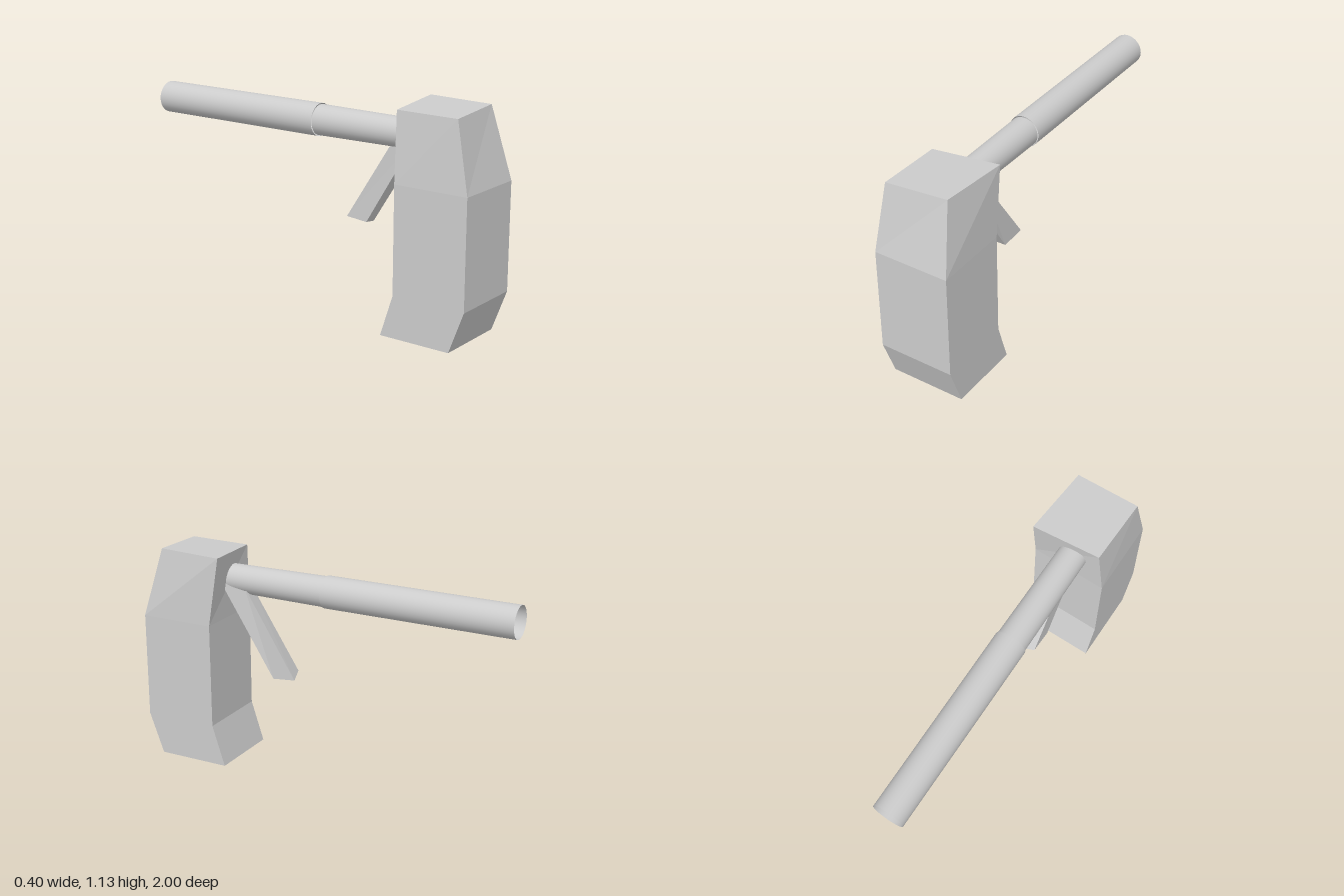
import * as THREE from 'three';

// Skins a stack of four-cornered rings, bottom to top, each ordered
// front -x, front +x, back +x, back -x
function loft(rings) {
  const pos = [];
  const quad = (a, b, c, d) => pos.push(...a, ...b, ...c, ...a, ...c, ...d);
  for (let r = 0; r < rings.length - 1; r++) {
    const low = rings[r], up = rings[r + 1];
    for (let i = 0; i < 4; i++) {
      const j = (i + 1) % 4;
      quad(low[i], low[j], up[j], up[i]);
    }
  }
  const [a, b, c, d] = rings[0];
  quad(d, c, b, a);
  quad(...rings[rings.length - 1]);
  const geometry = new THREE.BufferGeometry();
  geometry.setAttribute('position', new THREE.Float32BufferAttribute(pos, 3));
  geometry.computeVertexNormals();
  return geometry;
}

// Level rectangular ring
const rect = (y, back, front, w) => [[-w, y, front], [w, y, front], [w, y, back], [-w, y, back]];

export function createModel() {
  const model = new THREE.Group();
  const flat = new THREE.MeshStandardMaterial({ color: 0xcccccc, flatShading: true });
  const smooth = new THREE.MeshStandardMaterial({ color: 0xcccccc, side: THREE.DoubleSide });

  const add = (name, geometry, material) => {
    const mesh = new THREE.Mesh(geometry, material);
    mesh.name = name;
    model.add(mesh);
    return mesh;
  };

  // Bent block with a slightly skewed, tapered top
  add('bodyBlock', loft([
    rect(0, 0.53, 0.92, 0.2),
    rect(0.215, 0.6, 1, 0.2),
    rect(0.77, 0.6, 1, 0.2),
    [[-0.175, 1.12, 0.925], [0.155, 1.135, 0.905], [0.188, 1.135, 0.545], [-0.165, 1.12, 0.585]],
  ]), flat);

  // Slanted, slightly twisted bar under the pipe
  add('slantedBar', loft([
    [[-0.05, 0.505, 0.335], [0.05, 0.485, 0.31], [0.057, 0.5, 0.18], [-0.048, 0.515, 0.215]],
    [[-0.045, 0.96, 0.61], [0.055, 0.96, 0.61], [0.04, 0.96, 0.483], [-0.045, 0.96, 0.5]],
  ]), flat);

  // Open pipes running backwards along z
  const pipe = (name, rBack, rFront, back, front) => {
    const geometry = new THREE.CylinderGeometry(rFront, rBack, front - back, 32, 1, true);
    geometry.rotateX(Math.PI / 2);
    add(name, geometry, smooth).position.set(-0.02, 0.979, (front + back) / 2);
  };
  pipe('innerPipe', 0.079, 0.074, 0.03, 0.6);
  pipe('outerPipe', 0.084, 0.084, -1, 0.03);

  return model;
}
